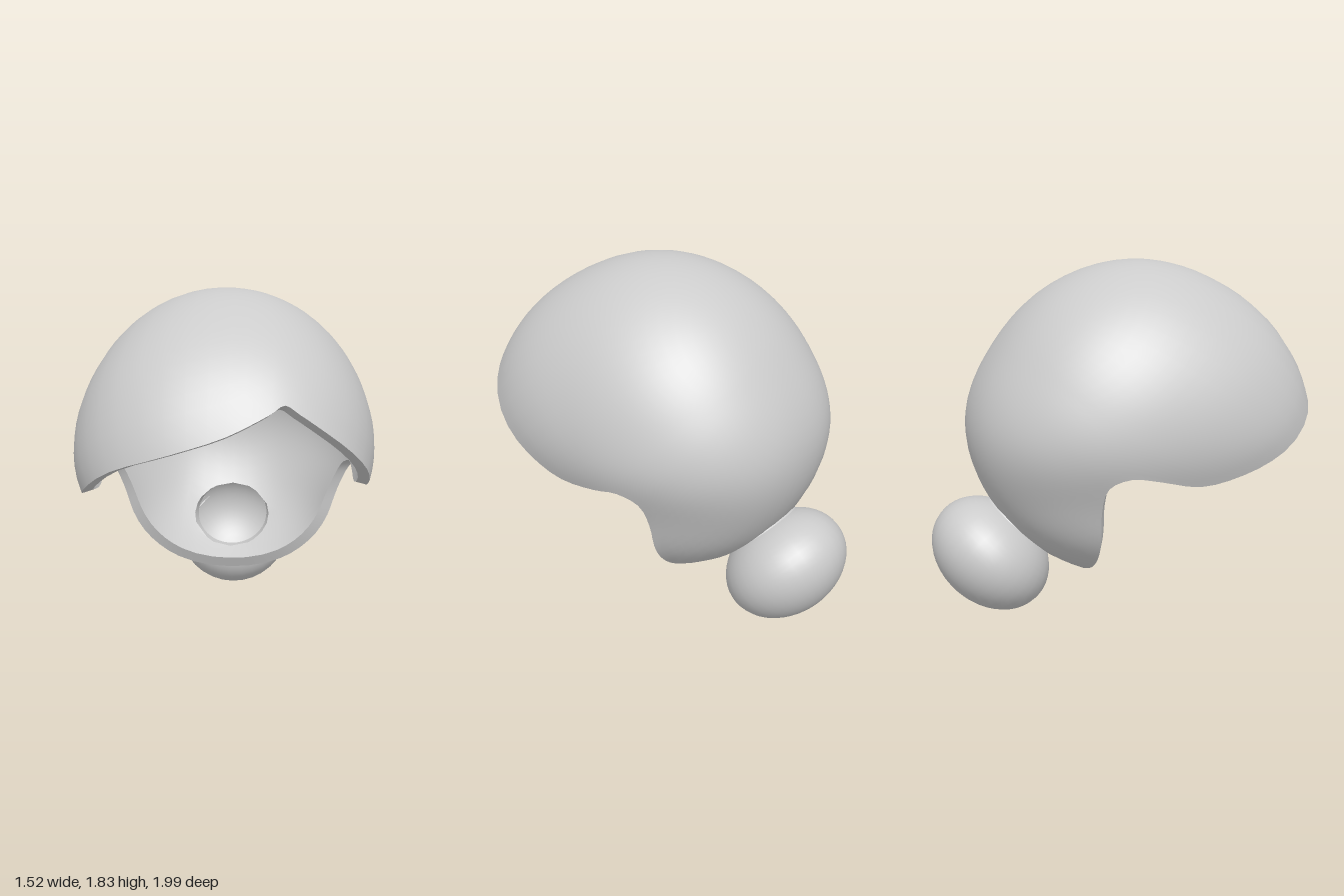
import * as THREE from 'three';
import { toCreasedNormals } from 'three/addons/utils/BufferGeometryUtils.js';

const V = (x, y, z) => new THREE.Vector3(x, y, z);
const CENTRE = V(0, 1, 0.1);
const POLE = V(0, 0.64, -0.77).normalize();
const HALF_WIDTH = 0.765;
const INNER = 0.922;

// Side profile: radius around the x axis every 30 degrees, from the front upwards
const PROFILE = [0.93, 0.885, 0.844, 0.836, 0.83, 0.838, 0.893, 0.878, 0.862, 0.865, 0.88, 0.91];

// Bun placement; its axis points into the cap
const BUN = V(0, 0.308, -0.696);
const BUN_SIZE = V(0.336, 0.266, 0.343);
const BUN_OPENING = 0.66;
const AXIS = V(0, Math.SQRT1_2, Math.SQRT1_2);
const ACROSS = V(0, Math.SQRT1_2, -Math.SQRT1_2);
const HOLE_X = 0.22, HOLE_Y = 0.215, HOLE_SHIFT = -0.05;

function profileRadius(angle) {
  const t = (angle / (Math.PI * 2) + 1) * 12;
  const i = Math.floor(t), f = t - i;
  const [a, b, c, d] = [-1, 0, 1, 2].map((k) => PROFILE[(i + k + 12) % 12]);
  return b + 0.5 * f * (c - a + f * (2 * a - 5 * b + 4 * c - d + f * (3 * (b - c) + d - a)));
}

// Point of the rounded head form in a given direction, narrowed below the ears
function onHead(dir, scale) {
  const angle = Math.atan2(dir.y, dir.z);
  const cos = Math.cos(angle);
  const n = 2 + (cos > 0 ? 0.5 : 0.25) * cos * cos;
  const rho = Math.hypot(dir.y, dir.z) / profileRadius(angle);
  const size = (Math.abs(dir.x) / HALF_WIDTH) ** n + rho ** n;
  const p = dir.clone().multiplyScalar(scale / size ** (1 / n)).add(CENTRE);
  p.x *= 1 - 0.075 * Math.exp(-(((p.y - 0.69) / 0.21) ** 2));
  return p;
}

const bunPoint = (x, v, depth) =>
  BUN.clone().addScaledVector(AXIS, depth).addScaledVector(ACROSS, v).setX(x);

// Point of the bun opening's edge on the shell, found by bisection along the bun axis
function holeEdge(angle, scale) {
  const x = HOLE_X * Math.cos(angle), v = HOLE_Y * Math.sin(angle) + HOLE_SHIFT;
  let near = 0.05, far = 0.5;
  for (let k = 0; k < 20; k++) {
    const mid = (near + far) / 2;
    const dir = bunPoint(x, v, mid).sub(CENTRE);
    const outside = dir.length() > onHead(dir, scale).distanceTo(CENTRE);
    if (outside) near = mid; else far = mid;
  }
  return bunPoint(x, v, far);
}

// Moves points inside the bun opening out to its edge
function snapToHole(p, scale) {
  const q = p.clone().sub(BUN);
  const depth = q.dot(AXIS);
  const u = q.x / HOLE_X, v = (q.dot(ACROSS) - HOLE_SHIFT) / HOLE_Y;
  if (depth < 0 || depth > 0.45 || Math.hypot(u, v) >= 1) return false;
  p.copy(holeEdge(Math.atan2(v, u), scale));
  return true;
}

function capGeometry() {
  // Lower edge: notch, left side, nape, right side, fringe
  const side = [
    V(0.7, 0.87, 0), V(0.69, 0.89, -0.13), V(0.68, 0.84, -0.23), V(0.64, 0.7, -0.25),
    V(0.57, 0.55, -0.24), V(0.46, 0.38, -0.24), V(0.3, 0.27, -0.24),
  ];
  const rim = new THREE.CatmullRomCurve3([
    V(0.31, 1.38, 0.88), V(0.37, 1.33, 0.86), V(0.48, 1.23, 0.8), V(0.61, 1.07, 0.62),
    V(0.69, 0.93, 0.4), V(0.71, 0.855, 0.2),
    ...side, V(0, 0.22, -0.25),
    ...side.map((p) => V(-p.x, p.y, p.z)).reverse(),
    V(-0.7, 0.82, 0.2), V(-0.69, 0.85, 0.42), V(-0.62, 0.93, 0.65),
    V(-0.45, 1.065, 0.85), V(-0.2, 1.165, 0.97), V(0.05, 1.25, 0.97), V(0.24, 1.34, 0.91),
  ], true);
  const columns = rim.points.length * 3, rings = 24;

  // Each column runs from the crown to the edge and back along the inside
  const grid = [];
  for (let i = 0; i <= rings * 2 + 1; i++) {
    const outer = i <= rings;
    const t = (outer ? i : rings * 2 + 1 - i) / rings;
    const scale = outer ? 1 : INNER;
    const row = [];
    for (let j = 0; j < columns; j++) {
      const end = rim.getPoint(j / columns).sub(CENTRE).normalize();
      const turn = V(0, 0, 0).crossVectors(POLE, end).normalize();
      const dir = POLE.clone().applyAxisAngle(turn, POLE.angleTo(end) * t);
      const p = onHead(dir, scale);
      row.push({ p, cut: snapToHole(p, scale) });
    }
    grid.push(row);
  }

  const positions = [];
  const triangle = (...corners) => {
    const [a, b, c] = corners.map((k) => k.p);
    if (corners.every((k) => k.cut)) return;
    if (a.distanceTo(b) < 1e-5 || b.distanceTo(c) < 1e-5 || c.distanceTo(a) < 1e-5) return;
    for (const k of [a, b, c]) positions.push(k.x, k.y, k.z);
  };
  for (let i = 0; i < grid.length - 1; i++) {
    for (let j = 0; j < columns; j++) {
      const n = (j + 1) % columns;
      const a = grid[i][j], b = grid[i][n], c = grid[i + 1][j], d = grid[i + 1][n];
      triangle(a, c, d);
      triangle(a, d, b);
    }
  }
  const geometry = new THREE.BufferGeometry();
  geometry.setAttribute('position', new THREE.Float32BufferAttribute(positions, 3));
  return toCreasedNormals(geometry, 0.7);
}

// Tube from the bun's open edge to the edge of the hole inside the cap
function liningGeometry() {
  const geometry = new THREE.CylinderGeometry(1, 1, 1, 40, 1, true);
  const pos = geometry.attributes.position;
  const r = Math.sin(BUN_OPENING), depth = BUN_SIZE.y * Math.cos(BUN_OPENING);
  for (let i = 0; i < pos.count; i++) {
    const angle = Math.atan2(pos.getZ(i), pos.getX(i));
    const p = pos.getY(i) > 0
      ? holeEdge(angle, INNER)
      : bunPoint(BUN_SIZE.x * r * Math.cos(angle), BUN_SIZE.z * r * Math.sin(angle), depth);
    pos.setXYZ(i, p.x, p.y, p.z);
  }
  geometry.computeVertexNormals();
  return geometry;
}

export function createModel() {
  const group = new THREE.Group();
  const solid = new THREE.MeshStandardMaterial({ color: 0xcccccc });
  const open = new THREE.MeshStandardMaterial({ color: 0xcccccc, side: THREE.DoubleSide });

  // Swept hair shell with the open face
  const cap = new THREE.Mesh(capGeometry(), solid);
  cap.name = 'hairCap';
  group.add(cap);

  // Hollow bun, open towards the cap
  const sphere = new THREE.SphereGeometry(1, 32, 20, 0, Math.PI * 2, BUN_OPENING, Math.PI - BUN_OPENING);
  const bun = new THREE.Mesh(sphere, open);
  bun.name = 'bun';
  bun.scale.copy(BUN_SIZE);
  bun.position.copy(BUN);
  bun.rotation.x = Math.PI / 4;
  group.add(bun);

  // Wall of the opening between cap and bun
  const lining = new THREE.Mesh(liningGeometry(), open);
  lining.name = 'bunLining';
  group.add(lining);

  return group;
}
